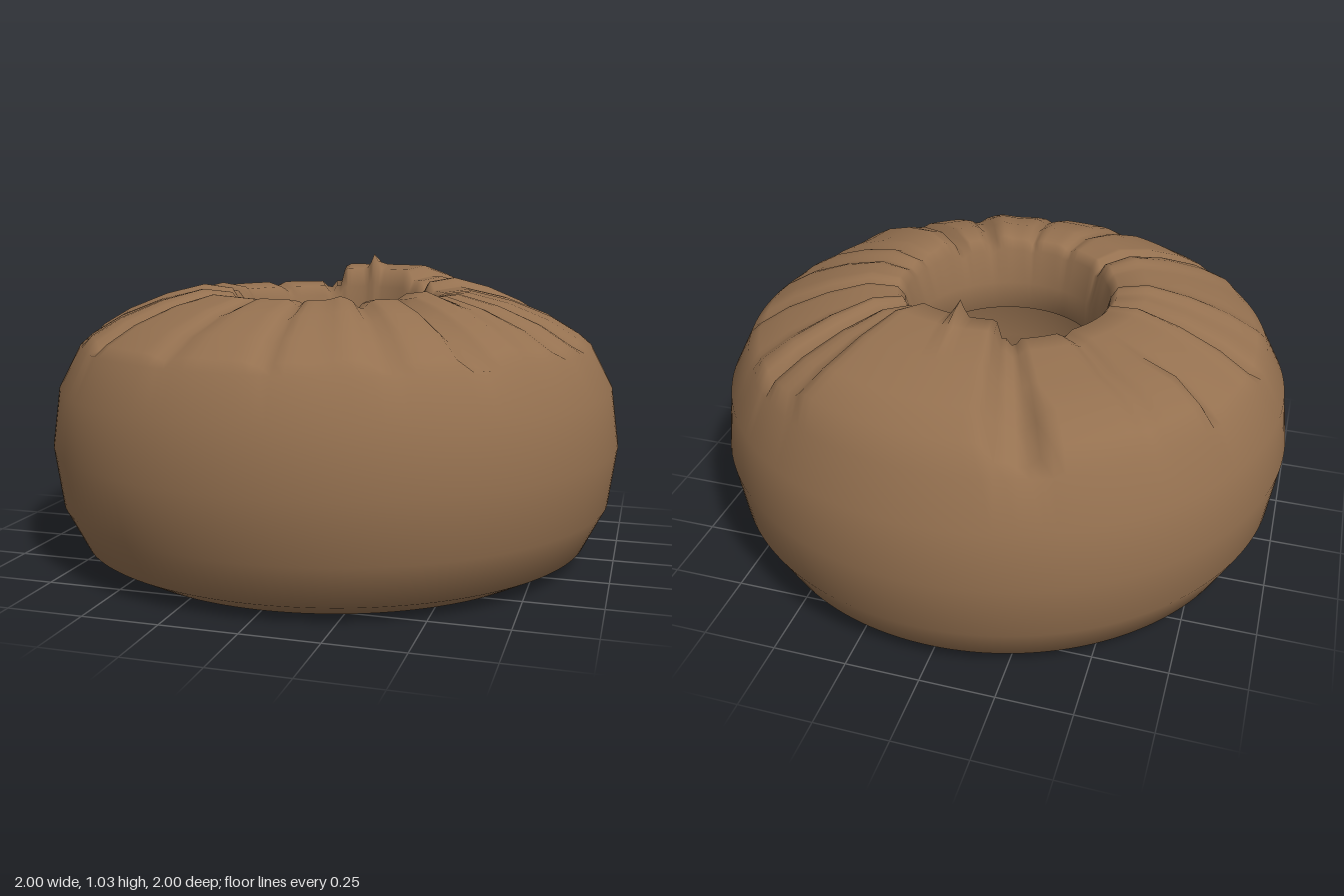
import * as THREE from 'three';
import { mergeVertices } from 'three/addons/utils/BufferGeometryUtils.js';

// Radial folds of the gathered top: [angle in degrees from +x towards +z, half width, height]
const FOLDS = [
  [-170, 4, 0.015], [-173, 3, -0.035], [-135, 4, -0.02],
  [-109, 3, -0.035], [-45, 3, -0.045], [-14, 4, -0.025], [8, 5, -0.02],
  [20, 4, -0.02], [36, 6, 0.02], [46, 3, -0.045], [64, 4, -0.035],
  [72, 5, 0.012], [88, 3, -0.025], [110, 5, -0.02], [136, 3, -0.045],
  [145, 6, 0.015], [172, 4, 0.02],
];

// Overlapping flaps with steep sides: [from, to, height, smallest radius, largest radius]
const FLAPS = [
  [-102, -58, 0.068, 0.3, 0.9],
  [-58, -36, 0.03, 0.3, 0.9],
  [-150, -113, 0.055, 0.7, 0.9],
];

function foldHeight(deg, r) {
  let h = 0;
  for (const [centre, width, height] of FOLDS) {
    const d = Math.abs(((deg - centre + 540) % 360) - 180);
    h += height * Math.max(0, 1 - d / width);
  }
  for (const [from, to, height, inner, outer] of FLAPS) {
    if (r < inner || r > outer) continue;
    h += height * THREE.MathUtils.clamp(Math.min(deg - from, to - deg) / 2 + 0.5, 0, 1);
  }
  // Narrow pinched tip at the lip
  if (r < 0.42) h += 0.06 * Math.max(0, 1 - Math.abs(deg + 83) / 4);
  return h;
}

export function createModel() {
  const group = new THREE.Group();
  const brown = new THREE.MeshStandardMaterial({ color: 0x957150 });
  brown.name = 'brown';

  // Closed cross-section: outer wall, gathered top, lip, hole, wide hollow underneath
  const profile = [
    [0.8, 0], [0.9, 0.055], [0.973, 0.2], [1, 0.4], [0.973, 0.595], [0.9, 0.735],
    [0.86, 0.77], [0.76, 0.83], [0.62, 0.885], [0.48, 0.918], [0.38, 0.905],
    [0.355, 0.87], [0.325, 0.75], [0.318, 0.65], [0.36, 0.63], [0.48, 0.63],
    [0.54, 0.57], [0.55, 0.4], [0.58, 0.2], [0.63, 0.09], [0.7, 0.02], [0.8, 0],
  ].map(([x, y]) => new THREE.Vector2(x, y));

  let geometry = new THREE.LatheGeometry(profile, 160);
  const p = geometry.attributes.position;
  const weights = [0.95, 0.85, 0.9, 1, 1, 0.5]; // rings 6 to 11 carry the folds
  for (let i = 0; i < p.count; i++) {
    const ring = i % profile.length;
    if (ring < 6 || ring > 11) continue;
    const deg = THREE.MathUtils.radToDeg(Math.atan2(p.getZ(i), p.getX(i)));
    p.setY(i, p.getY(i) + weights[ring - 6] * foldHeight(deg, profile[ring].x));
  }

  // Weld the seams so the shading is smooth all round
  geometry.deleteAttribute('normal');
  geometry.deleteAttribute('uv');
  geometry = mergeVertices(geometry, 1e-4);
  geometry.computeVertexNormals();

  const body = new THREE.Mesh(geometry, brown);
  body.name = 'gatheredRing';
  group.add(body);
  return group;
}
